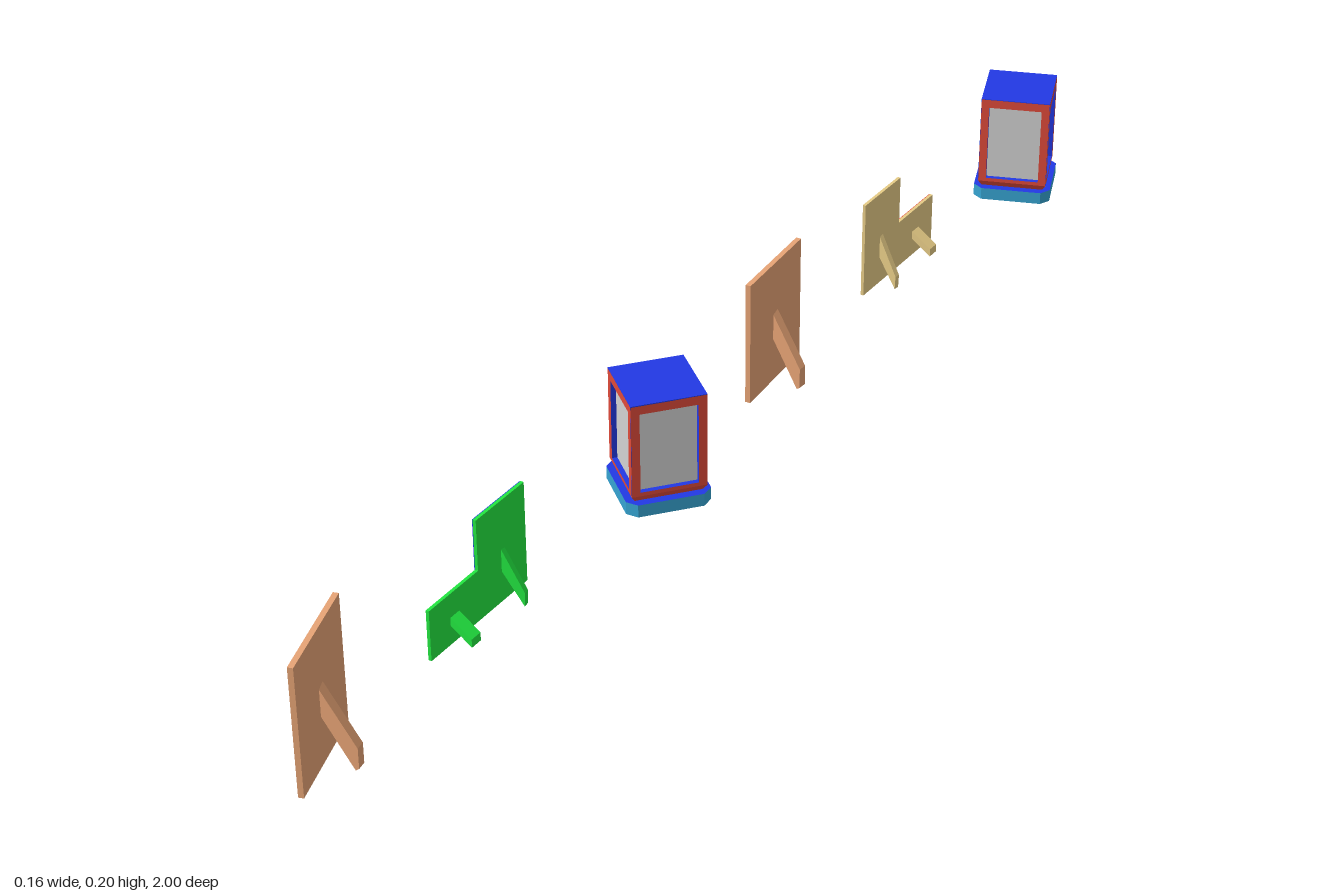
import * as THREE from 'three';

const mat = (name, color) => {
  const m = new THREE.MeshStandardMaterial({ color });
  m.name = name;
  return m;
};
const deg = THREE.MathUtils.degToRad;

export function createModel() {
  const brown = mat('brown wood', 0xeaa677);
  const green = mat('green', 0x22e640);
  const tan = mat('tan', 0xe6cb86);
  const blue = mat('blue', 0x2238e4);
  const red = mat('red', 0xe04a3a);
  const teal = mat('teal', 0x36a4d2);
  const gray = mat('picture gray', 0xd2d2d2);

  const root = new THREE.Group();
  root.name = 'pictureDisplays';

  const add = (parent, name, geo, material, x = 0, y = 0, z = 0) => {
    const mesh = new THREE.Mesh(geo, material);
    mesh.name = name;
    mesh.position.set(x, y, z);
    parent.add(mesh);
    return mesh;
  };
  const group = (name, x, z, angle = 0) => {
    const g = new THREE.Group();
    g.name = name;
    g.position.set(x, 0, z);
    g.rotation.y = deg(angle);
    root.add(g);
    return g;
  };
  const box = (w, h, d) => new THREE.BoxGeometry(w, h, d);
  const polygon = pts => new THREE.Shape(pts.map(p => new THREE.Vector2(...p)));
  const extrude = (shape, depth) => new THREE.ExtrudeGeometry(shape, { depth, bevelEnabled: false });

  // Sloping support leg: side profile leaning out from the back
  const leg = (parent, material, x, z, pts, width, yaw) => {
    const geo = extrude(polygon(pts), width).translate(0, 0, -width / 2);
    add(parent, 'supportLeg', geo, material, x, 0, z).rotation.y = deg(yaw);
  };

  // Board with a bordered picture facing -x
  const board = (parent, material, border, z, w, h, t, rim) => {
    add(parent, 'frameBoard', box(t, h, w), material, 0, h / 2, z);
    if (border !== material)
      add(parent, 'frameBorder', box(0.001, h, w), border, -t / 2 - 0.0005, h / 2, z);
    add(parent, 'picture', box(0.002, h - 2 * rim, w - 2 * rim), gray, -t / 2 - 0.001, h / 2, z);
  };

  // Large single frames
  for (const [z, angle] of [[0.921, 18], [-0.172, 4]]) {
    const g = group('largeFrame', -0.02, z, angle);
    board(g, brown, brown, 0, 0.163, 0.2, 0.008, 0.018);
    leg(g, brown, 0.003, 0,
      [[0, 0.075], [0.046, 0], [0.051, 0.004], [0.051, 0.036], [0, 0.117]], 0.014, -8);
  }

  // Double frames: a tall and a low picture side by side
  const doubleFrame = (z, side, material, tallBorder, lowBorder) => {
    const g = group('doubleFrame', -0.03, z);
    board(g, material, tallBorder, -side * 0.055, 0.11, 0.16, 0.005, 0.012);
    board(g, material, lowBorder, side * 0.055, 0.11, 0.08, 0.005, 0.01);
    leg(g, material, 0.002, -side * 0.057,
      [[0, 0.048], [0.033, 0], [0.034, 0.022], [0, 0.084]], 0.009, side * 8);
    leg(g, material, 0.002, side * 0.055,
      [[0, 0.03], [0.034, 0.007], [0.034, 0.02], [0, 0.043]], 0.02, 0);
  };
  doubleFrame(0.572, 1, green, blue, green);
  doubleFrame(-0.57, -1, tan, tan, red);

  // Four-sided picture boxes on a chamfered base
  const half = 0.056;
  const b = 0.063, c = 0.049;
  const octagon = polygon([[b, -c], [b, c], [c, b], [-c, b], [-b, c], [-b, -c], [-c, -b], [c, -b]]);
  const wall = polygon([[-0.0556, 0.03], [0.0556, 0.03], [0.0556, 0.179], [-0.0556, 0.179]]);
  wall.holes.push(new THREE.Path(
    [[-0.043, 0.036], [-0.043, 0.165], [0.043, 0.165], [0.043, 0.036]].map(p => new THREE.Vector2(...p))));

  for (const [z, angle] of [[0.175, -40], [-0.92, 21]]) {
    const g = group('pictureBox', 0, z, angle);
    const slab = (name, y, h, mats) =>
      add(g, name, extrude(octagon, h).rotateX(-Math.PI / 2), mats, 0, y, 0);
    slab('baseUnderside', 0, 0.002, [gray, teal]);
    slab('base', 0.002, 0.018, [blue, teal]);

    const neck = new THREE.CylinderGeometry(half * Math.SQRT2, 0.05 * Math.SQRT2, 0.01, 4);
    add(g, 'neck', neck.rotateY(Math.PI / 4).toNonIndexed(), red, 0, 0.025, 0).geometry.computeVertexNormals();
    add(g, 'pictureCore', box(0.096, 0.145, 0.096), gray, 0, 0.104, 0);
    add(g, 'topPanel', box(half * 2, 0.0015, half * 2), blue, 0, 0.17925, 0);

    // Framed opening on each side, with blue reveals
    for (let i = 0; i < 4; i++) {
      const pivot = new THREE.Group();
      pivot.name = 'sideFrame';
      pivot.rotation.y = i * Math.PI / 2;
      add(pivot, 'frameOpening', extrude(wall, 0.009), [red, blue], 0, 0, half - 0.009);
      g.add(pivot);
    }
  }
  return root;
}
